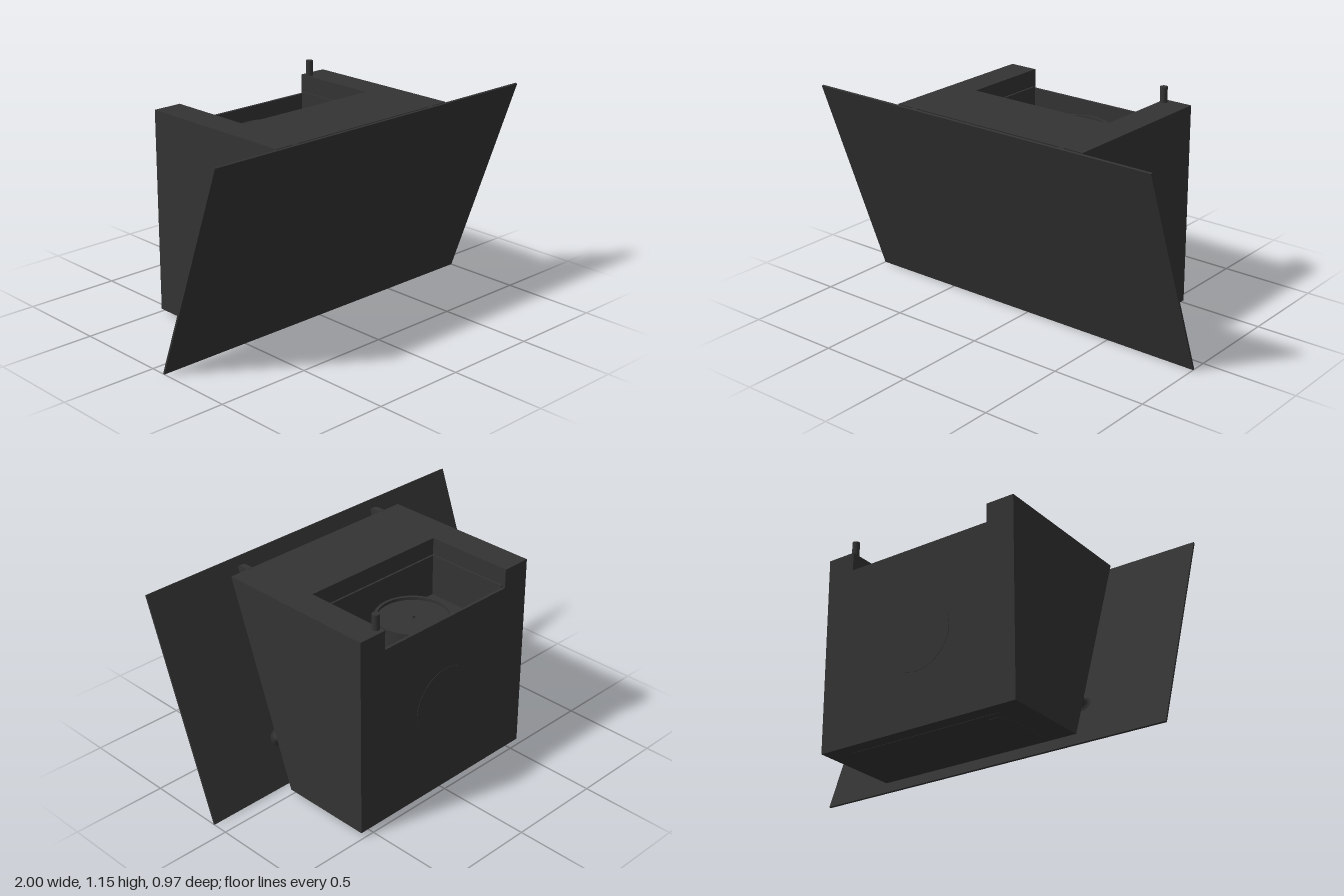
import * as THREE from 'three';

const TILT = 0.347; // lean of the front panel

export function createModel() {
  const model = new THREE.Group();
  const dark = new THREE.MeshStandardMaterial({ color: 0x333333 });

  const add = (name, geometry, x = 0, y = 0, z = 0, parent = model) => {
    const mesh = new THREE.Mesh(geometry, dark);
    mesh.name = name;
    mesh.position.set(x, y, z);
    parent.add(mesh);
    return mesh;
  };
  const box = (w, h, d) => new THREE.BoxGeometry(w, h, d);
  // Side profile given as [z, y] points, extruded along x and centred
  const slab = (points, width) => {
    const shape = new THREE.Shape(points.map(([z, y]) => new THREE.Vector2(z, y)));
    const geometry = new THREE.ExtrudeGeometry(shape, { depth: width, bevelEnabled: false });
    return geometry.translate(0, 0, -width / 2).rotateY(-Math.PI / 2);
  };
  // Closed ring with a rectangular section, axis along y
  const ring = (inner, outer, height) => new THREE.ExtrudeGeometry(
    (() => {
      const s = new THREE.Shape().absarc(0, 0, outer, 0, Math.PI * 2);
      s.holes.push(new THREE.Path().absarc(0, 0, inner, 0, Math.PI * 2, true));
      return s;
    })(), { depth: height, bevelEnabled: false, curveSegments: 32 }).rotateX(-Math.PI / 2);

  // Body: centre section with an open recess, including its stepped front wall
  add('bodyCentre', slab([
    [0.01, 0.025], [0.39, 1.075], [-0.01, 1.075], [-0.01, 0.985], [-0.02, 0.985],
    [-0.02, 0.765], [-0.47, 0.765], [-0.47, 0.975], [-0.485, 0.975], [-0.485, 0.025],
  ], 0.82));
  for (const side of [-1, 1]) {
    add('bodySide', slab([[0.01, 0.025], [0.39, 1.075], [-0.485, 1.075], [-0.485, 0.025]], 0.155),
      side * 0.4875);
    add('recessLining', box(0.01, 0.22, 0.45), side * 0.405, 0.875, -0.245);
  }

  // Air outlet in the recess
  add('outletCollar', ring(0.175, 0.19, 0.14), 0, 0.765, -0.27);
  add('outletFlap', new THREE.CylinderGeometry(0.175, 0.175, 0.01, 48), 0, 0.885, -0.27);
  add('flapPin', new THREE.CylinderGeometry(0.008, 0.008, 0.015, 12), 0, 0.895, -0.27);

  // Rear outlet cover
  add('rearCover', new THREE.CylinderGeometry(0.195, 0.195, 0.004, 48).rotateX(Math.PI / 2),
    0, 0.505, -0.485);

  // Cable gland on top
  add('cableGland', new THREE.CylinderGeometry(0.019, 0.019, 0.08, 16), 0.43, 1.115, -0.445);

  // Underside cover and its latch
  add('undersideCover', box(0.84, 0.003, 0.36), 0, 0.025, -0.23);
  add('latch', box(0.06, 0.003, 0.06), -0.37, 0.0235, -0.34);

  // Tilted front panel
  add('frontPanel', box(2, 1.172, 0.01), 0, 0.5565, 0.281).rotation.x = TILT;

  // Hinges at the top, rubber stops at the bottom
  const hingeProfile = [
    [0.465, 1.065], [0.435, 1.076], [0.388, 1.076], [0.303, 0.842], [0.33, 0.838],
    [0.352, 0.841], [0.37, 0.85], [0.388, 0.867],
  ];
  const stopProfile = [
    [0, -0.007], [0.03, -0.005], [0.045, 0.003], [0.045, 0.008], [0.024, 0.012], [0.033, 0.075], [0, 0.075],
  ].map(([r, y]) => new THREE.Vector2(r, y));
  for (const side of [-1, 1]) {
    add('hinge', slab(hingeProfile, 0.03), side * 0.449);
    const stop = add('rubberStop', new THREE.LatheGeometry(stopProfile, 24).rotateX(-Math.PI / 2),
      side * 0.51, 0.24, 0.165);
    stop.rotation.x = TILT;
  }

  return model;
}
